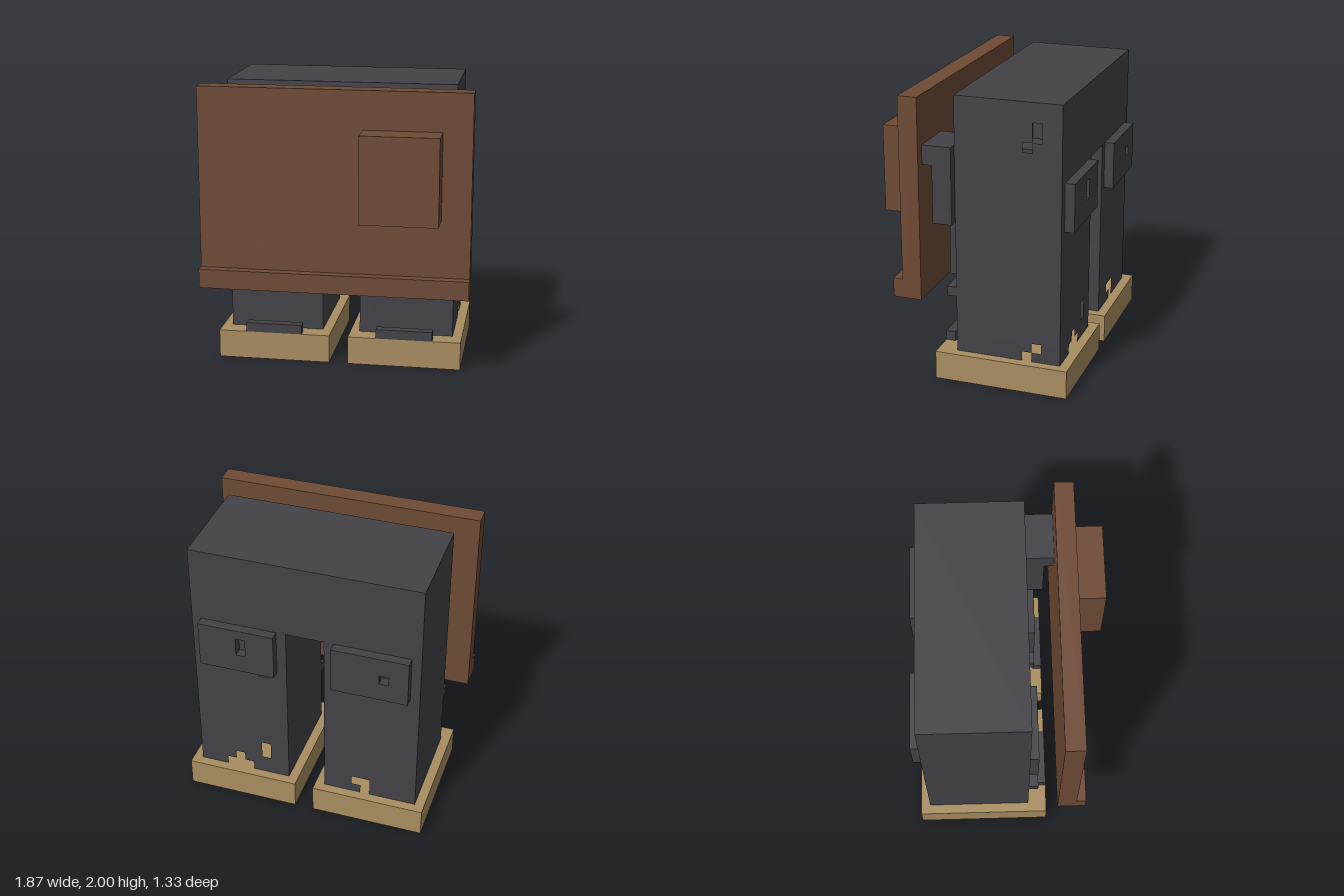
import * as THREE from 'three';
import { mergeGeometries } from 'three/addons/utils/BufferGeometryUtils.js';

const U = 1 / 15; // one block of the grid everything is built on

export function createModel() {
  const model = new THREE.Group();
  model.name = 'blockTrousers';

  const material = (name, color, side = THREE.FrontSide) => {
    const m = new THREE.MeshStandardMaterial({ color, side });
    m.name = name;
    return m;
  };
  const charcoal = material('charcoal', 0x434247, THREE.DoubleSide);
  const brown = material('brown', 0x6e4a35);
  const tan = material('tan', 0xa88d60);

  const add = (name, geometry, mat, parent = model) => {
    const mesh = new THREE.Mesh(geometry, mat);
    mesh.name = name;
    parent.add(mesh);
    return mesh;
  };

  // Box from ranges in blocks
  const box = (name, mat, [x0, x1], [y0, y1], [z0, z1], parent) =>
    add(name, new THREE.BoxGeometry((x1 - x0) * U, (y1 - y0) * U, (z1 - z0) * U), mat, parent)
      .position.set((x0 + x1) / 2 * U, (y0 + y1) / 2 * U, (z0 + z1) / 2 * U);

  // Flat panel in the XY plane, with rectangular cuts [a0, a1, b0, b1]
  const panel = (a0, a1, b0, b1, cuts = []) => {
    const edges = (lo, hi, i) => [...new Set([lo, hi, ...cuts.flatMap(c => [c[i], c[i + 1]])])].sort((p, q) => p - q);
    const xs = edges(a0, a1, 0), ys = edges(b0, b1, 2), cells = [];
    for (let i = 0; i < xs.length - 1; i++) {
      for (let j = 0; j < ys.length - 1; j++) {
        const cx = (xs[i] + xs[i + 1]) / 2, cy = (ys[j] + ys[j + 1]) / 2;
        if (cuts.some(c => cx > c[0] && cx < c[1] && cy > c[2] && cy < c[3])) continue;
        cells.push(new THREE.PlaneGeometry((xs[i + 1] - xs[i]) * U, (ys[j + 1] - ys[j]) * U)
          .translate(cx * U, cy * U, 0));
      }
    }
    return mergeGeometries(cells);
  };

  // Hollow trousers: waist block over two legs
  const trousers = new THREE.Group();
  trousers.name = 'trousers';
  model.add(trousers);
  const gap = [-2, 2, 3, 22];
  const flip = ([a, b, c, d]) => [-b, -a, c, d];
  const backTears = [[4, 5, 5, 7], [6, 9, 3, 4], [7, 8, 4, 5], [-7, -5, 4, 5], [-7, -6, 3, 4], [4, 5, 16, 17]];
  const sideTears = [[-7, -6, 26, 28], [-6, -5, 25, 26], [-7, -6, 4, 5], [-6, -5, 3, 4]];
  const innerTears = [[-5, -4, 16, 19], [-5, -4, 9, 10]];
  const H = Math.PI / 2;

  add('frontWall', panel(-12, 12, 3, 30, [gap]).translate(0, 0, 2 * U), charcoal, trousers);
  add('backWall', panel(-12, 12, 3, 30, [gap, ...backTears].map(flip))
    .rotateY(Math.PI).translate(0, 0, -9 * U), charcoal, trousers);
  add('leftWall', panel(-2, 9, 3, 30, sideTears.map(flip)).rotateY(H).translate(12 * U, 0, 0), charcoal, trousers);
  add('rightWall', panel(-9, 2, 3, 30).rotateY(-H).translate(-12 * U, 0, 0), charcoal, trousers);
  add('rightInseam', panel(-2, 9, 3, 22, innerTears.map(flip)).rotateY(H).translate(-2 * U, 0, 0), charcoal, trousers);
  add('leftInseam', panel(-9, 2, 3, 22).rotateY(-H).translate(2 * U, 0, 0), charcoal, trousers);
  add('waistTop', panel(-12, 12, -2, 9).rotateX(-H).translate(0, 30 * U, 0), charcoal, trousers);
  add('crotch', panel(-2, 2, -9, 2).rotateX(H).translate(0, 22 * U, 0), charcoal, trousers);

  // Back pockets with small tears
  const pocket = (name, x0, x1, y0, y1, [a, b, c, d]) => {
    const rect = (path, l, r, lo, hi) => {
      path.moveTo(l * U, lo * U).lineTo(r * U, lo * U).lineTo(r * U, hi * U).lineTo(l * U, hi * U).closePath();
      return path;
    };
    // chained path calls return the path itself
    const shape = rect(new THREE.Shape(), x0, x1, y0, y1);
    shape.holes.push(rect(new THREE.Path(), a, b, c, d));
    add(name, new THREE.ExtrudeGeometry(shape, { depth: U, bevelEnabled: false }).translate(0, 0, -10 * U), charcoal);
  };
  pocket('leftBackPocket', 3, 11, 17, 22, [6, 7, 19, 21]);
  pocket('rightBackPocket', -11, -3, 17, 22, [-9, -8, 19, 20]);

  // Shoes, knee pads, shin bands and toe straps, mirrored
  for (const s of [1, -1]) {
    const side = s > 0 ? 'left' : 'right';
    const span = (a, b) => (s > 0 ? [a, b] : [-b, -a]);
    box(side + 'Shoe', tan, span(1, 13), [0, 3], [-10, 4]);
    box(side + 'KneePad', charcoal, span(3, 11), [11, 17], [2, 3]);
    box(side + 'ShinBand', charcoal, span(2, 12), [9, 10], [2, 3]);
    box(side + 'ToeStrap', charcoal, span(4, 10), [3, 4], [3, 4]);
  }

  // Pouch on the left hip, with a flap
  box('hipPouch', charcoal, [8, 13], [17, 25], [2, 4]);
  box('hipPouchFlap', charcoal, [8, 13], [23, 25], [4, 5]);

  // Apron board with hem and front pocket
  box('apron', brown, [-14, 14], [9, 30], [5, 7]);
  box('apronHem', brown, [-14, 14], [9, 11], [7, 8]);
  box('apronPocket', brown, [3, 11], [17, 26], [7, 10]);

  return model;
}
